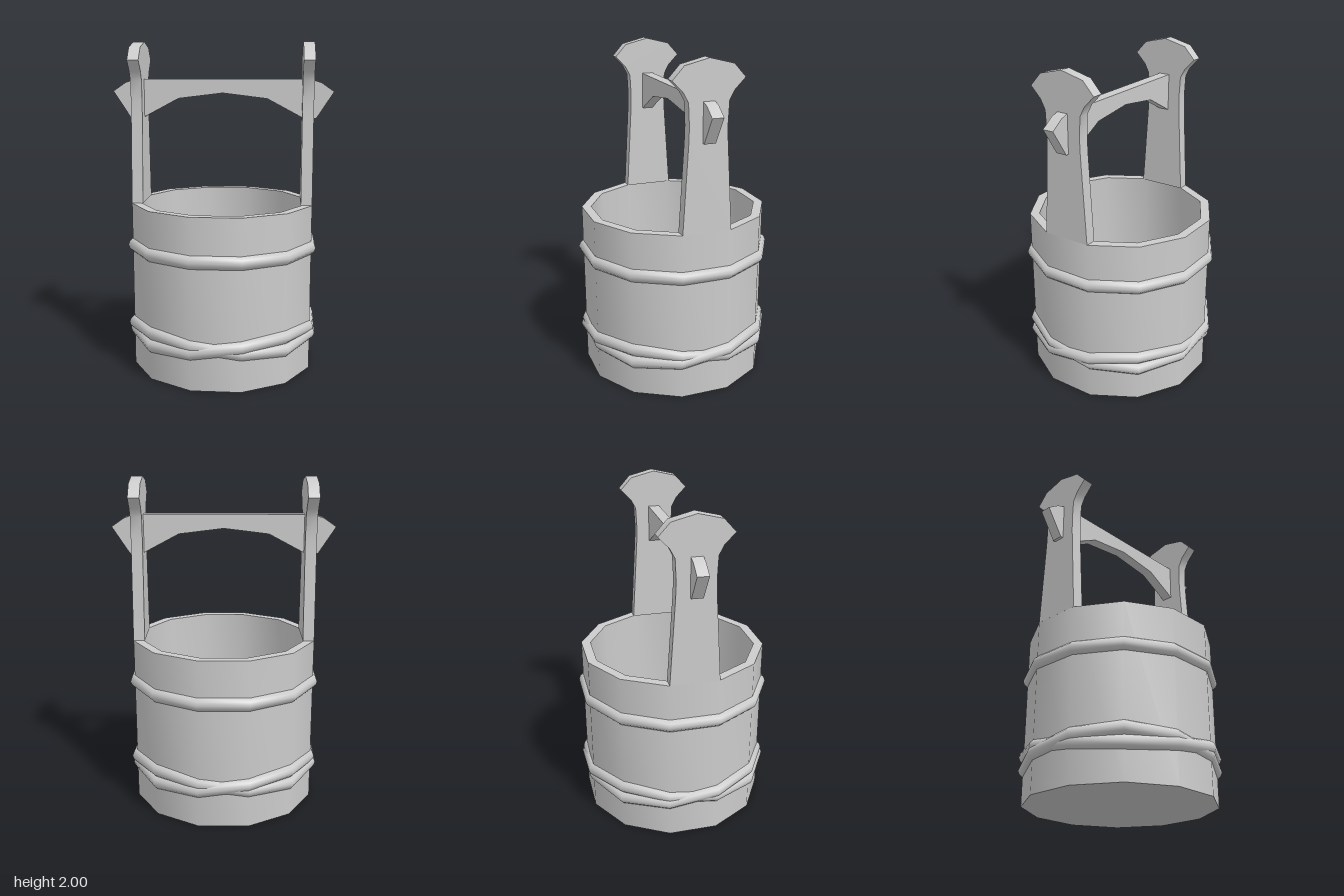
import * as THREE from 'three';
import { toCreasedNormals } from 'three/addons/utils/BufferGeometryUtils.js';

const SIDES = 12;
const START = Math.PI / SIDES; // flat sides face the x and z axes
const material = new THREE.MeshStandardMaterial({ color: 0xcccccc });

const vectors = (pairs) => pairs.map(([x, y]) => new THREE.Vector2(x, y));

function addMesh(parent, name, geometry, crease) {
  const mesh = new THREE.Mesh(toCreasedNormals(geometry, crease), material);
  mesh.name = name;
  parent.add(mesh);
  return mesh;
}

function turned(profile) {
  return new THREE.LatheGeometry(vectors(profile), SIDES, START);
}

// Mirrors the right half of an outline (bottom to top) and extrudes it, centred on z
function mirroredSlab(half, depth) {
  const left = half.filter(([x]) => x > 0).reverse().map(([x, y]) => [-x, y]);
  const shape = new THREE.Shape(vectors([...half, ...left]));
  const geometry = new THREE.ExtrudeGeometry(shape, { depth, bevelEnabled: false });
  return geometry.translate(0, 0, -depth / 2);
}

// Rope ring around the bucket; weave = +1 or -1 makes one strand of a twisted pair
function ropeRing(y, weave = 0) {
  const geometry = turned([
    [0.54, -0.04], [0.568, -0.04], [0.587, -0.022], [0.595, 0],
    [0.587, 0.022], [0.568, 0.04], [0.54, 0.04],
  ]);
  const pos = geometry.attributes.position;
  for (let i = 0; i < pos.count; i++) {
    const x = pos.getX(i), z = pos.getZ(i);
    const angle = Math.atan2(x, z);
    // the rising strand lies slightly outside the falling one
    const scale = 1 + weave * 0.008 * Math.cos(2 * angle);
    pos.setXYZ(i, x * scale, pos.getY(i) + y + weave * 0.04 * Math.sin(2 * angle), z * scale);
  }
  return geometry;
}

export function createModel() {
  const model = new THREE.Group();
  model.name = 'bucket';

  // Hollow bucket body with floor
  const outer = 0.567, inner = 0.51, rim = 1.03, floor = 0.06;
  addMesh(model, 'bucketBody', turned([
    [0, 0], [outer, 0], [outer, rim], [inner, rim], [inner, floor], [0, floor],
  ]), 0.7);

  // Rope bindings
  addMesh(model, 'upperRope', ropeRing(0.77), 1.2);
  addMesh(model, 'lowerRopeStrandA', ropeRing(0.25, 1), 1.2);
  addMesh(model, 'lowerRopeStrandB', ropeRing(0.25, -1), 1.2);

  // Two tapering uprights with flared heads
  const uprightHalf = [
    [0.147, rim], [0.115, 1.55], [0.112, 1.64], [0.118, 1.77],
    [0.147, 1.825], [0.21, 1.89], [0.142, 1.965], [0, 2],
  ];
  for (const side of [1, -1]) {
    const geometry = mirroredSlab(uprightHalf, 0.068).rotateY(Math.PI / 2);
    const upright = addMesh(model, side > 0 ? 'leftUpright' : 'rightUpright', geometry, 0.6);
    upright.position.x = side * 0.514;
  }

  // Arched crossbar whose pointed ends pass through the uprights
  addMesh(model, 'crossbar', mirroredSlab([
    [0, 1.695], [0.27, 1.662], [0.48, 1.55], [0.566, 1.545],
    [0.67, 1.705], [0.595, 1.757], [0.53, 1.778],
  ], 0.068), 0.3);

  return model;
}
